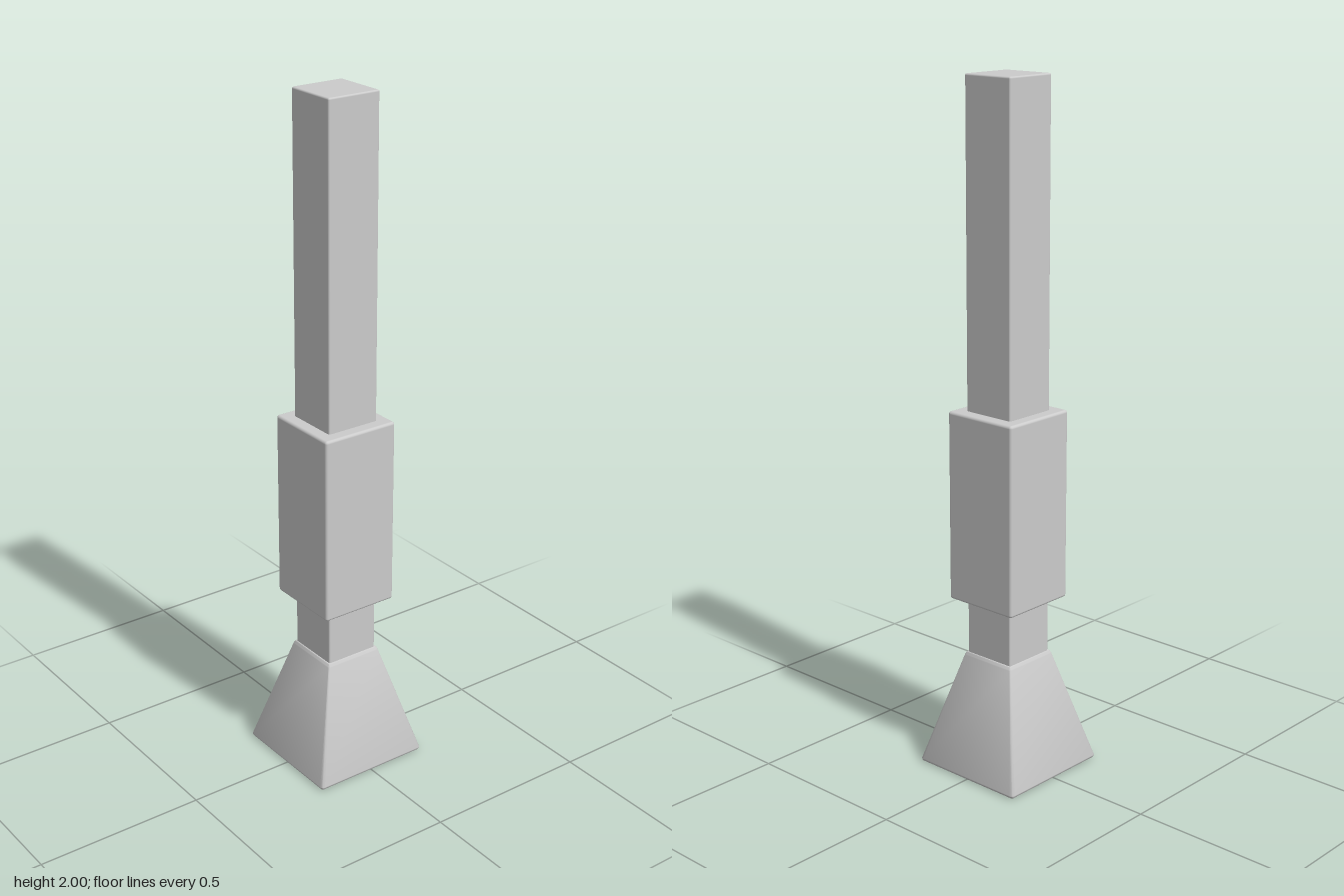
import * as THREE from 'three';
import { RoundedBoxGeometry } from 'three/addons/geometries/RoundedBoxGeometry.js';
import { toCreasedNormals } from 'three/addons/utils/BufferGeometryUtils.js';

const material = new THREE.MeshStandardMaterial({ color: 0xcccccc });

// Square block with softened edges, spanning y0..y1
function block(width, y0, y1, radius) {
  const geometry = new RoundedBoxGeometry(width, y1 - y0, width, 3, radius);
  return geometry.translate(0, (y0 + y1) / 2, 0);
}

// Narrow a block linearly from full width at y0 to topScale at y1
function taper(geometry, y0, y1, topScale) {
  const p = geometry.attributes.position;
  for (let i = 0; i < p.count; i++) {
    const t = THREE.MathUtils.clamp((p.getY(i) - y0) / (y1 - y0), 0, 1);
    const s = THREE.MathUtils.lerp(1, topScale, t);
    p.setX(i, p.getX(i) * s);
    p.setZ(i, p.getZ(i) * s);
  }
  return toCreasedNormals(geometry, 0.6);
}

export function createModel() {
  const group = new THREE.Group();
  const add = (name, geometry) => {
    const mesh = new THREE.Mesh(geometry, material);
    mesh.name = name;
    group.add(mesh);
  };

  // Flared foot
  add('base', taper(block(0.366, 0, 0.347, 0.01), 0.01, 0.343, 0.485));
  // Long square post running up through the sleeve
  add('shaft', block(0.164, 0.25, 2, 0.005));
  // Thicker collar around the middle
  add('sleeve', block(0.238, 0.513, 1.072, 0.008));

  return group;
}
